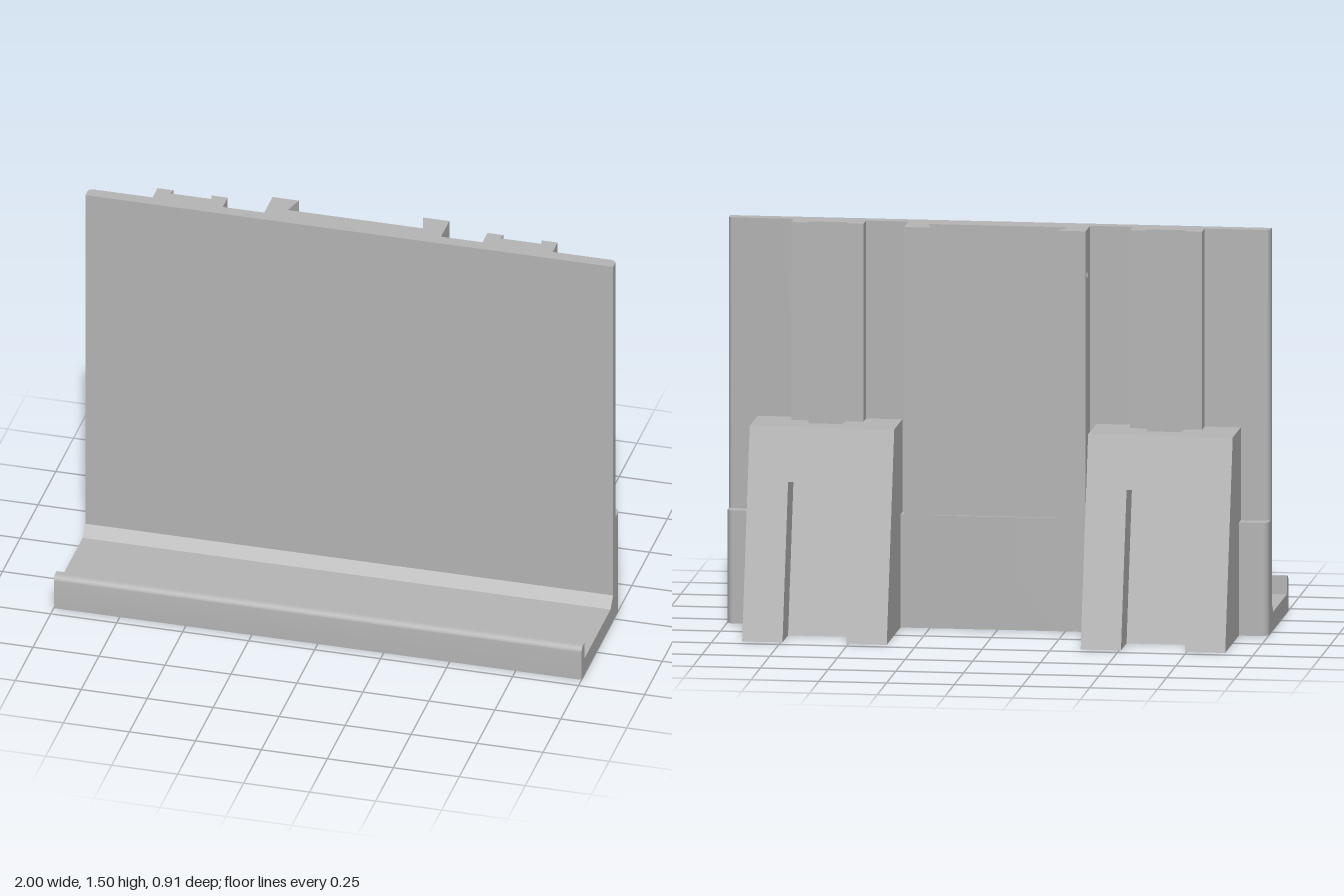
import * as THREE from 'three';
import { toCreasedNormals } from 'three/addons/utils/BufferGeometryUtils.js';

const grey = new THREE.MeshStandardMaterial({ color: 0xb4b4b4 });
grey.name = 'plain grey';

const toShape = (pts) => new THREE.Shape(pts.map(([a, b]) => new THREE.Vector2(a, -b)));
const extrude = (shape, depth) =>
  new THREE.ExtrudeGeometry(shape, { depth, bevelEnabled: false, curveSegments: 8 });

// Plan outline in (x, z), raised from y0 to y1
function raise(shape, y0, y1) {
  return extrude(shape, y1 - y0).rotateX(-Math.PI / 2).translate(0, y0, 0);
}

// Side outline in (z, y), swept from x0 to x1
function sweep(pts, x0, x1, hole) {
  const shape = new THREE.Shape(pts.map(([z, y]) => new THREE.Vector2(-z, y)));
  if (hole) shape.holes.push(hole);
  return extrude(shape, x1 - x0).rotateY(Math.PI / 2).translate(x0, 0, 0);
}

// Full-width slab outline with rounded rear corners
function slab(front, back, r) {
  const s = new THREE.Shape();
  s.moveTo(-1, -front);
  s.lineTo(1, -front);
  s.lineTo(1, -back - r);
  s.absarc(1 - r, -back - r, r, 0, Math.PI / 2);
  s.lineTo(-1 + r, -back);
  s.absarc(-1 + r, -back - r, r, Math.PI / 2, Math.PI);
  return s;
}

export function createModel() {
  const model = new THREE.Group();
  model.name = 'stand';
  const add = (name, geometry, parent = model) => {
    const mesh = new THREE.Mesh(toCreasedNormals(geometry, 0.5), grey);
    mesh.name = name;
    parent.add(mesh);
  };

  const FRONT = 0.013, BACK = -0.035, STEP = 0.42, TOP = 1.5;
  const BLOCK_TOP = 0.765, SPLIT = 0.62;

  // Upright plate, thicker foot and the raised panel between the rails
  add('backPlate', raise(slab(FRONT, BACK, 0.02), STEP, TOP));
  add('plateFoot', raise(slab(FRONT, -0.085, 0.03), 0, STEP));
  add('rearPanel', raise(toShape([[-0.3, BACK], [0.3, BACK], [0.3, -0.076], [-0.3, -0.076]]), STEP, TOP));

  // Shelf with a sloped inner corner and a rounded front lip
  const lip = [];
  for (let i = 0; i <= 6; i++) {
    const a = (i / 6) * Math.PI / 2;
    lip.push([0.437 + 0.02 * Math.sin(a), 0.115 + 0.02 * Math.cos(a)]);
  }
  add('shelf', sweep([
    [FRONT, 0], [FRONT, 0.107], [0.05, 0.068], [0.418, 0.068], [0.418, 0.135],
    ...lip, [0.457, 0],
  ], -1, 1));

  // Sloping rear face of the support blocks
  const slope = (y) => -0.455 + (0.202 * y) / BLOCK_TOP;

  for (const side of [-1, 1]) {
    const group = new THREE.Group();
    group.name = side > 0 ? 'leftSupport' : 'rightSupport';
    model.add(group);
    const mid = side * 0.625;

    // Dovetail rail with a pin hole, its inner face undercut
    const pin = new THREE.Path();
    pin.absarc(0.113, 1.335, 0.015, 0, Math.PI * 2, true);
    const x0 = side > 0 ? 0.235 : -0.335;
    const rail = sweep([[BACK, STEP], [-0.152, STEP], [-0.152, TOP], [BACK, TOP]], x0, x0 + 0.1, pin);
    const rp = rail.attributes.position;
    for (let i = 0; i < rp.count; i++) {
      if (Math.abs(rp.getX(i)) < 0.28) {
        rp.setX(i, side * (0.235 + 0.28 * (rp.getZ(i) + 0.152)));
      }
    }
    rail.computeVertexNormals();
    add('dovetailRail', rail, group);

    // Slotted channel running above the block
    add('slottedChannel', raise(toShape([
      [-0.133, BACK], [0.133, BACK], [0.133, -0.105], [0.073, -0.105], [0.077, -0.08],
      [-0.077, -0.08], [-0.073, -0.105], [-0.133, -0.105],
    ]), BLOCK_TOP, TOP).translate(mid, 0, 0), group);

    // Block top with a tapered socket, rear face moved onto the slope
    const cap = toShape([[-0.267, BACK], [0.267, BACK], [0.267, -0.3], [-0.267, -0.3]]);
    cap.holes.push(toShape([[-0.077, -0.08], [-0.06, -0.165], [0.06, -0.165], [0.077, -0.08]]));
    const capGeo = raise(cap, SPLIT, BLOCK_TOP);
    const cp = capGeo.attributes.position;
    for (let i = 0; i < cp.count; i++) {
      if (cp.getZ(i) < -0.25) cp.setZ(i, slope(cp.getY(i)));
    }
    capGeo.computeVertexNormals();
    add('blockTop', capGeo.translate(mid, 0, 0), group);

    // Two legs and a recessed centre under the block top
    const leg = [[BACK, 0], [slope(0), 0], [slope(SPLIT), SPLIT], [BACK, SPLIT]];
    const recess = [
      [BACK, 0], [slope(0) + 0.15, 0], [slope(0.57) + 0.15, 0.57],
      [slope(0.57), 0.57], [slope(SPLIT), SPLIT], [BACK, SPLIT],
    ];
    add('blockLeg', sweep(leg, mid - 0.267, mid - 0.118), group);
    add('blockLeg', sweep(leg, mid + 0.118, mid + 0.267), group);
    add('blockRecess', sweep(recess, mid - 0.118, mid + 0.118), group);
  }
  return model;
}
